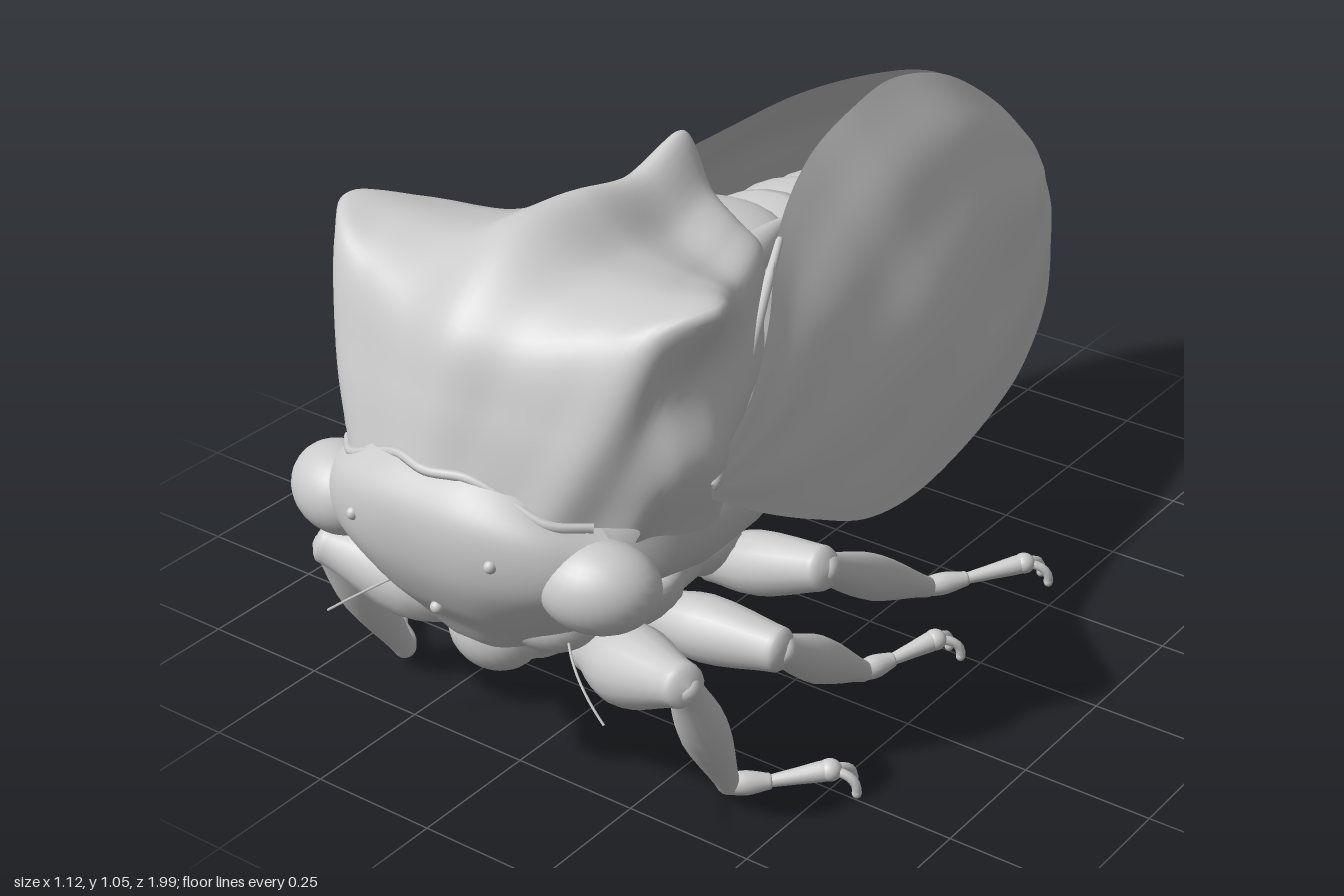
import * as THREE from 'three';
import { mergeVertices } from 'three/addons/utils/BufferGeometryUtils.js';

const material = new THREE.MeshStandardMaterial({ color: 0xcccccc, side: THREE.DoubleSide });
const V = (x, y, z) => new THREE.Vector3(x, y, z);
const lerp = THREE.MathUtils.lerp;

function add(group, name, geometry) {
  const mesh = new THREE.Mesh(geometry, material);
  mesh.name = name;
  group.add(mesh);
  return mesh;
}

// surface through a grid of points
function gridGeometry(rows) {
  const w = rows[0].length, pos = [], idx = [];
  rows.forEach(r => r.forEach(p => pos.push(p.x, p.y, p.z)));
  for (let i = 0; i < rows.length - 1; i++)
    for (let j = 0; j < w - 1; j++) {
      const a = i * w + j, b = a + 1, c = a + w, d = c + 1;
      idx.push(a, c, b, b, c, d);
    }
  let g = new THREE.BufferGeometry();
  g.setAttribute('position', new THREE.Float32BufferAttribute(pos, 3));
  g.setIndex(idx);
  g = mergeVertices(g, 1e-5);
  g.computeVertexNormals();
  return g;
}

// smooth grid of points over a coarse control grid
function smoothGrid(rows, n, m) {
  const sample = (pts, k) => new THREE.CatmullRomCurve3(pts).getPoints(k);
  const fine = rows.map(r => sample(r, m));
  const cols = fine[0].map((_, j) => sample(fine.map(r => r[j]), n));
  return cols[0].map((_, i) => cols.map(c => c[i]));
}

// half row starting on the centre line, mirrored to a full row
const mirrorRow = r => [...r.slice(1).reverse().map(p => V(-p.x, p.y, p.z)), ...r];

// body from oval rings [z, centre y, half width, height above, depth below]
function rings(list, sides = 40) {
  return gridGeometry(list.map(([z, cy, rx, up, down]) =>
    Array.from({ length: sides + 1 }, (_, k) => {
      const a = (k % sides) / sides * Math.PI * 2, s = Math.sin(a);
      return V(Math.cos(a) * rx, cy + s * (s > 0 ? up : down), z);
    })));
}

function ellipsoid(group, name, c, r, turn = 0) {
  const m = add(group, name, new THREE.SphereGeometry(1, 28, 18));
  m.position.set(...c);
  m.scale.set(...r);
  m.rotation.y = turn;
}

// rounded limb piece from a to b with start, middle and end radius
function limb(group, name, a, b, r0, rm, r1) {
  const dir = b.clone().sub(a), len = dir.length();
  const profile = new THREE.SplineCurve([
    [0, -r0 * 0.5], [r0 * 0.8, -r0 * 0.2], [r0, len * 0.1], [rm, len * 0.45], [r1, len * 0.9],
    [r1 * 0.8, len + r1 * 0.2], [0, len + r1 * 0.5]].map(p => new THREE.Vector2(...p))).getPoints(22);
  profile.forEach(p => { p.x = Math.max(p.x, 0); });
  const m = add(group, name, new THREE.LatheGeometry(profile, 16));
  m.position.copy(a);
  m.quaternion.setFromUnitVectors(V(0, 1, 0), dir.normalize());
}

function buildLeg(name, coxa, hip, knee, ankle, toe, thick) {
  const g = new THREE.Group();
  g.name = name;
  limb(g, 'coxa', coxa, hip, 0.075, 0.07, 0.045);
  limb(g, 'femur', hip, knee, 0.045, thick, 0.045);
  limb(g, 'tibia', knee, ankle, 0.032, 0.044, 0.024);
  // tarsus of three pieces
  const p1 = ankle.clone().lerp(toe, 0.3).setY(0.035), p2 = ankle.clone().lerp(toe, 0.75).setY(0.05);
  limb(g, 'tarsusBase', ankle, p1, 0.02, 0.022, 0.016);
  limb(g, 'tarsusMiddle', p1, p2, 0.012, 0.015, 0.019);
  ellipsoid(g, 'tarsusTip', p2, [0.022, 0.02, 0.022]);
  // paired hooked claws
  const fwd = toe.clone().sub(ankle).setY(0).normalize(), side = V(-fwd.z, 0, fwd.x);
  for (const s of [-1, 1]) {
    const mid = p2.clone().addScaledVector(fwd, 0.047).addScaledVector(side, s * 0.022);
    const end = p2.clone().addScaledVector(fwd, 0.045).addScaledVector(side, s * 0.02).setY(0.012);
    add(g, 'claw', new THREE.TubeGeometry(new THREE.QuadraticBezierCurve3(p2, mid, end), 8, 0.009, 8));
    ellipsoid(g, 'clawTip', end, [0.009, 0.011, 0.009]);
  }
  return g;
}

// horned shield: rails run front to back, cross-sections hang between them
function buildShield(group) {
  const crest = [[.685, .95], [.8, .92], [.92, .87], [1.025, .72], [1.035, .55], [1.01, .38], [1.045, .24], [.93, .225]]
    .map(([y, z]) => V(0, y, z));
  const horn = [[.215, .63, .9], [.28, .77, .85], [.345, .95, .77], [.4, .98, .68], [.34, .945, .57],
    [.265, .89, .44], [.175, .87, .25], [.155, .83, .25]].map(p => V(...p));
  const bulge = [[.32, .61, .8], [.345, .67, .78], [.38, .72, .75], [.4, .72, .69], [.37, .73, .6],
    [.325, .74, .49], [.27, .74, .38], [.25, .73, .38]].map(p => V(...p));
  const rows = crest.map((c, i) => {
    const sag = Math.min(0.035, 0.02 * i - 0.02);
    const inner = c.clone().lerp(horn[i], 0.35), outer = c.clone().lerp(horn[i], 0.7);
    inner.y -= sag;
    outer.y -= sag * 0.5;
    const waist = horn[i].clone().lerp(bulge[i], 0.5);
    waist.x -= 0.05 * Math.max(0, 1 - Math.abs(i - 3) * 0.6);
    const hem = bulge[i].clone().add(V(-0.03, -0.05 - 0.12 * Math.max(0, 1 - Math.abs(i - 2.5) / 2.5), -0.03));
    return mirrorRow([c, inner, outer, horn[i], waist, bulge[i], hem]);
  });
  add(group, 'shield', gridGeometry(smoothGrid(rows, 56, 84)));
  add(group, 'shieldRim', new THREE.TubeGeometry(new THREE.CatmullRomCurve3(rows[0].slice(2, -2)), 60, 0.009, 8));
}

function buildHead(group) {
  // y, half width, front z, side z, droop of the sides
  const levels = [
    [.685, .24, .945, .82, .06], [.62, .31, .985, .84, .04], [.52, .34, .983, .83, .0], [.43, .28, .945, .79, .0],
    [.37, .23, .9, .74, 0], [.31, .135, .86, .7, 0], [.235, .085, .78, .66, -.015]];
  const rows = levels.map(([y, w, zf, zs, droop]) => mirrorRow([0, 0.38, 0.7, 1].map(t =>
    V(w * t, y - droop * t ** 3, lerp(zf, zs, t ** 3)))));
  add(group, 'face', gridGeometry(smoothGrid(rows, 40, 50)));
  ellipsoid(group, 'clypeus', [0, 0.31, 0.795], [0.09, 0.08, 0.075]);
  ellipsoid(group, 'headBack', [0, 0.48, 0.77], [0.25, 0.18, 0.13]);
  ellipsoid(group, 'middleOcellus', [0, 0.42, 0.942], [0.012, 0.012, 0.012]);
  limb(group, 'beak', V(0, 0.25, 0.7), V(0, 0.125, 0.45), 0.05, 0.03, 0.01);
}

// overlapping segments under a tapering hull
function buildAbdomen(group) {
  // half width, top y, bottom y along the body
  const hull = new THREE.CatmullRomCurve3([
    V(.27, .82, .3), V(.285, .815, .275), V(.28, .79, .255), V(.24, .72, .242), V(.17, .61, .242), V(.06, .44, .275)]);
  const belly = [];
  for (let i = 0; i < 9; i++)
    for (const [f, k] of [[0, 0.95], [0.25, 0.985], [0.7, 1.01], [0.95, 1], [0.99, 0.96]]) {
      const t = (i + f) / 9, p = hull.getPoint(t), cy = lerp(0.47, 0.36, t);
      belly.push([lerp(0.14, -0.83, t), cy, p.x * k, (p.y - cy) * k, (cy - p.z) * k]);
    }
  belly.push([-0.84, 0.36, 0.001, 0.001, 0.001]);
  add(group, 'abdomen', rings(belly));
  limb(group, 'tailKeel', V(0, 0.29, -0.5), V(0, 0.31, -0.86), 0.03, 0.05, 0.016);
  limb(group, 'tailTip', V(0, 0.38, -0.7), V(0, 0.425, -0.91), 0.05, 0.05, 0.024);
}

function buildWing() {
  // z, top x, top y, bottom x, bottom y
  const stations = [
    [0.7, 0.395, 0.685, 0.395, 0.645], [0.55, 0.365, 0.755, 0.4, 0.55], [0.4, 0.295, 0.81, 0.39, 0.465],
    [0.2, 0.175, 0.885, 0.37, 0.365], [0, 0.1, 0.935, 0.345, 0.315], [-0.2, 0.06, 0.955, 0.32, 0.31],
    [-0.4, 0.02, 0.94, 0.28, 0.31], [-0.6, 0.012, 0.88, 0.22, 0.305], [-0.8, 0.01, 0.755, 0.15, 0.35],
    [-0.92, 0.007, 0.65, 0.085, 0.425], [-0.975, 0.005, 0.595, 0.045, 0.465], [-1, 0.004, 0.555, 0.015, 0.51]];
  const across = [[0, 0], [0.2, 0.38], [0.45, 0.73], [0.75, 0.95], [1, 1]];
  const grid = smoothGrid(stations.map(([z, xt, yt, xb, yb]) =>
    across.map(([ty, tx]) => V(lerp(xt, xb, tx), lerp(yt, yb, ty), z))), 90, 40);
  // soft folds fanning out from the hinge
  grid.forEach((row, i) => row.forEach((p, j) => {
    const u = i / 90, v = j / 40, fade = Math.sin(Math.PI * u) * Math.sin(Math.PI * v);
    p.x += fade * (0.004 * Math.sin(v * 19 + u * 7) + 0.004 * Math.sin(u * 17 - v * 8));
  }));
  return gridGeometry(grid);
}

export function createModel() {
  const model = new THREE.Group();
  model.name = 'treehopper';
  buildShield(model);
  buildHead(model);
  buildAbdomen(model);

  // thorax
  add(model, 'thorax', rings([
    [.82, .55, .01, .01, .01], [.78, .55, .26, .12, .17], [.7, .56, .33, .2, .2], [.58, .56, .355, .22, .22],
    [.45, .56, .345, .23, .22], [.3, .56, .31, .25, .22], [.15, .55, .27, .27, .24], [.05, .54, .2, .2, .2]]));
  ellipsoid(model, 'sternum', [0, 0.33, 0.5], [0.19, 0.1, 0.24]);
  ellipsoid(model, 'scutellum', [0, 0.82, 0.18], [0.15, 0.05, 0.14]);

  // paired parts on both sides
  const wing = buildWing();
  for (const s of [1, -1]) {
    const half = new THREE.Group();
    half.name = s > 0 ? 'leftSide' : 'rightSide';
    half.scale.x = s;
    add(half, 'wing', wing);
    limb(half, 'wingRootVein', V(.39, .67, .69), V(.19, .875, .22), 0.016, 0.014, 0.008);
    limb(half, 'scutellumLobe', V(.14, .83, .28), V(.1, .84, .06), 0.04, 0.03, 0.01);
    ellipsoid(half, 'eye', [.285, .52, .86], [.105, .08, .082], 0.4);
    ellipsoid(half, 'ocellus', [.15, .565, .972], [.011, .012, .012]);
    ellipsoid(half, 'cheek', [.12, .375, .785], [.09, .065, .08]);
    add(half, 'antenna', new THREE.TubeGeometry(new THREE.QuadraticBezierCurve3(
      V(.19, .36, .83), V(.24, .33, .88), V(.31, .275, .89)), 10, 0.0025, 5));
    limb(half, 'tailValve', V(.08, .3, -.55), V(.03, .31, -.86), 0.03, 0.04, 0.014);
    limb(half, 'tailPlate', V(.13, .38, -.5), V(.03, .42, -.89), 0.03, 0.05, 0.02);
    half.add(
      buildLeg('frontLeg', V(.13, .36, .64), V(.12, .25, .69), V(.4, .335, .79), V(.375, .035, .63), V(.55, .02, .47), .075),
      buildLeg('middleLeg', V(.13, .35, .55), V(.12, .24, .52), V(.39, .25, .5), V(.36, .03, .19), V(.45, .02, 0), .062),
      buildLeg('hindLeg', V(.14, .37, .4), V(.13, .27, .35), V(.385, .345, .36), V(.295, .03, -.13), V(.46, .02, -.34), .06));
    model.add(half);
  }
  return model;
}
